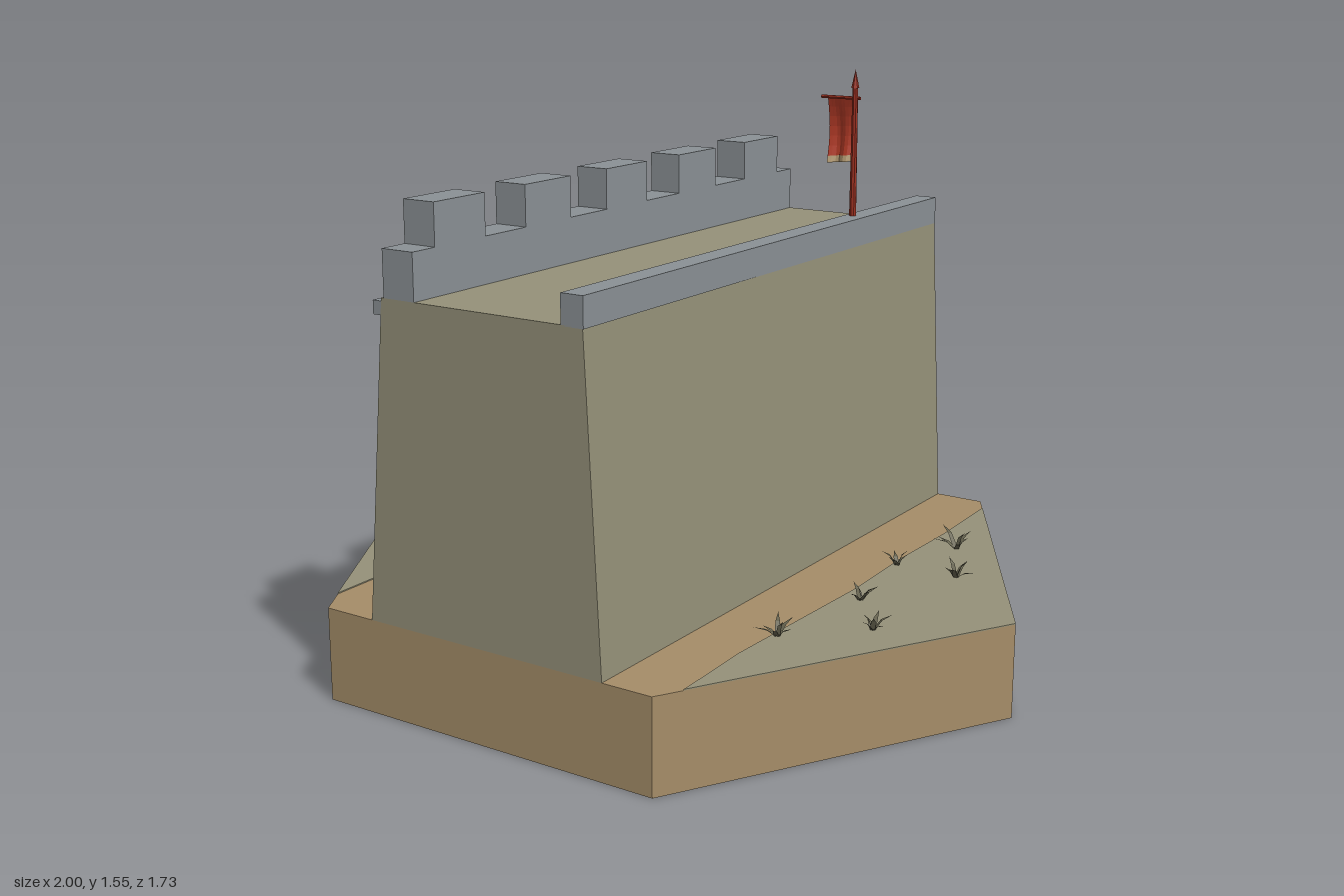
import * as THREE from 'three';

const flat = (name, color, side = THREE.FrontSide) => {
  const m = new THREE.MeshStandardMaterial({ color, flatShading: true, side });
  m.name = name;
  return m;
};

export function createModel() {
  const root = new THREE.Group();
  root.name = 'wallTile';
  const sand = flat('sand', 0xa58d68);
  const earth = flat('dryGrass', 0x959179);
  const stone = flat('greyStone', 0x8b9195);
  const rockMat = flat('rock', 0x8f8e80);
  const red = flat('redPaint', 0x9c3020);
  const cloth = flat('redCloth', 0xb23a26, THREE.DoubleSide);
  const trim = flat('creamTrim', 0xb39a72, THREE.DoubleSide);
  const blade = flat('grassBlade', 0x66634f, THREE.DoubleSide);

  const add = (name, geo, mat, x = 0, y = 0, z = 0, parent = root) => {
    const m = new THREE.Mesh(geo, mat);
    m.name = name;
    m.position.set(x, y, z);
    parent.add(m);
    return m;
  };
  // box given by its x, y and z ranges
  const slab = (name, mat, x0, x1, y0, y1, z0, z1) =>
    add(name, new THREE.BoxGeometry(x1 - x0, y1 - y0, z1 - z0), mat,
      (x0 + x1) / 2, (y0 + y1) / 2, (z0 + z1) / 2);
  const extrude = (pts, depth) => new THREE.ExtrudeGeometry(
    new THREE.Shape(pts.map(p => new THREE.Vector2(...p))), { depth, bevelEnabled: false });

  const G = 0.25, H = Math.sqrt(3) / 2;

  // hexagonal ground with a dry grass plate on each outer corner
  add('ground', new THREE.CylinderGeometry(1, 1, G, 6, 1, false, Math.PI / 2), sand, 0, G / 2, 0);
  const rim = x => (1 - Math.abs(x)) * 2 * H;
  const grassPlate = (name, edge) => {
    const s = Math.sign(edge[1]), n = edge.length - 1;
    const pts = [[s, 0], ...edge.map((x, i) => [x, rim(x) * (1 - 2 * i / n)])];
    add(name, extrude(pts, 0.003).rotateX(-Math.PI / 2), earth, 0, G, 0);
  };
  grassPlate('grassLeft', [0.535, 0.545, 0.54, 0.55, 0.54, 0.53, 0.54]);
  grassPlate('grassRight', [-0.53, -0.54, -0.55, -0.545, -0.555, -0.55, -0.55]);

  // sloping wall body
  add('wallBody', extrude([[-0.35, G], [0.36, G], [0.318, 1.08], [-0.278, 1.08]], 2 * H), earth, 0, 0, -H);

  // stone ledge, parapets and battlements
  slab('ledge', stone, -0.305, -0.265, 1.037, 1.072, -H, H);
  slab('parapet', stone, -0.27, -0.175, 1.075, 1.2, -H, H);
  slab('lowParapet', stone, 0.257, 0.32, 1.077, 1.153, -H, H);
  for (let i = -2; i <= 2; i++) {
    const z = i * 0.346;
    slab('merlon', stone, -0.27, -0.175, 1.2, 1.308, z - 0.094, z + 0.094);
  }

  // banner on its pole
  const banner = new THREE.Group();
  banner.name = 'banner';
  banner.position.set(0.278, 1.15, -0.437);
  root.add(banner);
  add('pole', new THREE.CylinderGeometry(0.008, 0.01, 0.36, 8), red, 0, 0.18, 0, banner);
  add('poleTip', new THREE.ConeGeometry(0.011, 0.05, 6), red, 0, 0.378, 0, banner);
  const bar = add('crossbar', new THREE.CylinderGeometry(0.005, 0.005, 0.12, 6), red, -0.046, 0.325, -0.004, banner);
  bar.rotation.z = Math.PI / 2;
  const hanging = (name, mat, y0, y1) => {
    const g = new THREE.PlaneGeometry(0.082, y1 - y0, 8, 6);
    const p = g.attributes.position;
    for (let i = 0; i < p.count; i++) {
      const x = p.getX(i), y = p.getY(i) + (y0 + y1) / 2, drop = (0.325 - y) / 0.175;
      p.setXYZ(i, x - 0.047 + 0.006 * drop * (x < 0 ? 0.5 : 0), y + 0.1 * x * drop,
        -0.006 - 0.014 * Math.sin(Math.min(drop, 1) * 3) + 0.007 * Math.sin(x * 110) * drop);
    }
    g.computeVertexNormals();
    add(name, g, mat, 0, 0, 0, banner);
  };
  hanging('flagCloth', cloth, 0.165, 0.325);
  hanging('flagTrim', trim, 0.147, 0.165);

  // grass tufts: bent, tapering blades fanned around a centre
  const tuft = (seed, blades, size) => {
    const v = [];
    for (let i = 0; i < blades; i++) {
      const a = seed + i * 2 * Math.PI / blades + 0.25 * Math.sin(seed * 7 + i * 3);
      const r = size * (0.8 + 0.3 * Math.sin(seed * 3 + i * 5)), h = size * (0.65 + 0.25 * Math.cos(seed + i * 4));
      const c = Math.cos(a), s = Math.sin(a), w = 0.007;
      const at = (d, y, side) => [c * d - s * w * side, y, s * d + c * w * side];
      const A = at(0, 0, -1), B = at(0, 0, 1), C = at(r * 0.45, h * 0.7, 0.8), D = at(r * 0.45, h * 0.7, -0.8);
      v.push(...A, ...B, ...C, ...A, ...C, ...D, ...D, ...C, ...at(r, h, 0));
    }
    const g = new THREE.BufferGeometry();
    g.setAttribute('position', new THREE.Float32BufferAttribute(v, 3));
    g.computeVertexNormals();
    return g;
  };
  [[-0.82, 0, 0.055], [-0.53, 0.05, 0.05], [0.63, -0.43, 0.065], [0.555, -0.22, 0.05],
    [0.73, -0.22, 0.058], [0.6, 0.07, 0.05], [0.725, 0.235, 0.05], [0.55, 0.4, 0.055]]
    .forEach(([x, z, size], i) => add('grassTuft', tuft(i * 1.3 + 0.4, 7, size), blade, x, G, z));

  // half-buried faceted rock
  const rock = add('rock', new THREE.DodecahedronGeometry(1, 0), rockMat, -0.56, G + 0.005, -0.412);
  rock.scale.set(0.04, 0.036, 0.06);
  rock.rotation.set(0, -0.4, 0.15);

  return root;
}
